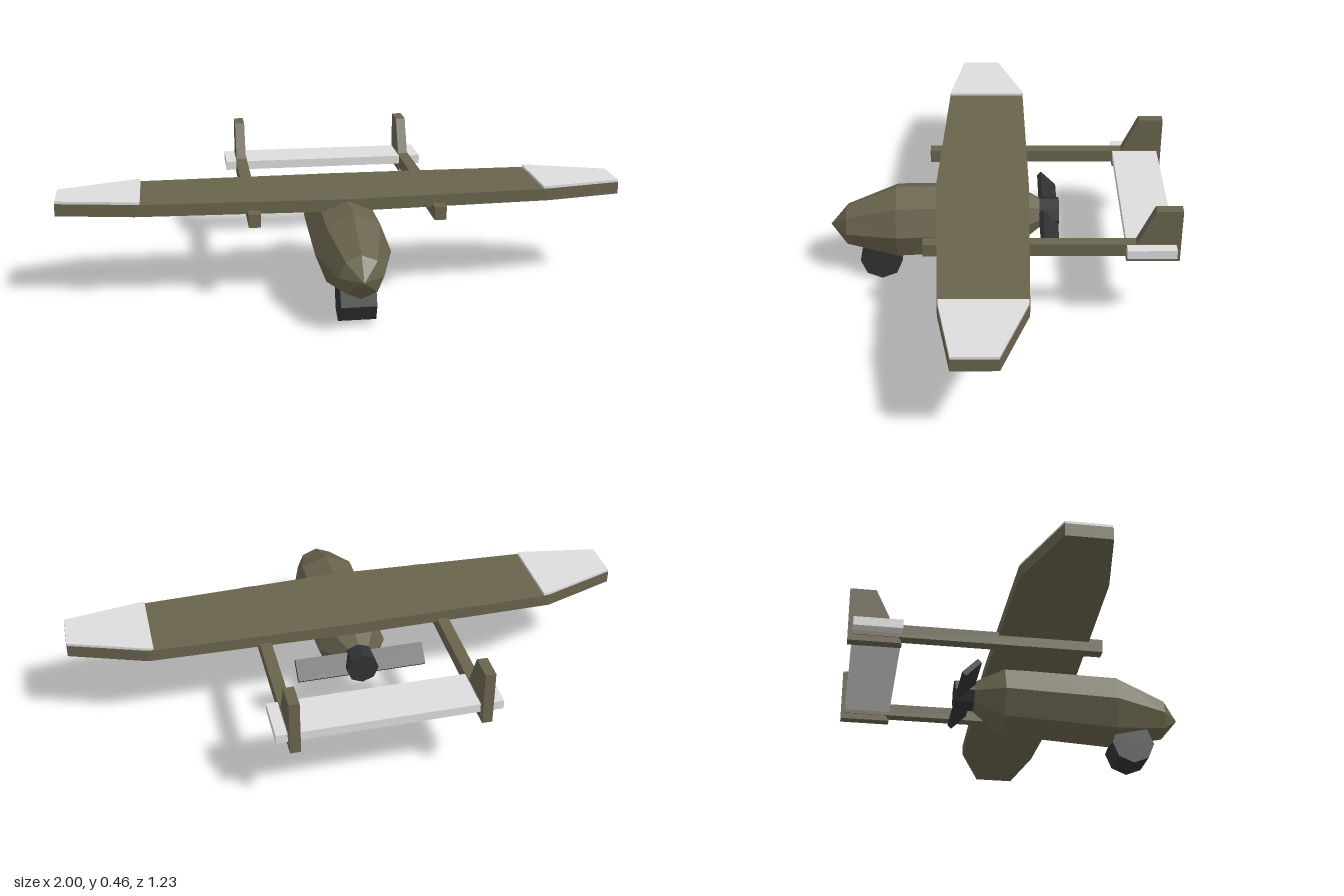
import * as THREE from 'three';

const makeMaterial = (name, color) => {
  const m = new THREE.MeshStandardMaterial({ color, flatShading: true });
  m.name = name;
  return m;
};

export function createModel() {
  const olive = makeMaterial('olive', 0x68634c);
  const pale = makeMaterial('pale grey', 0xdcdcdc);
  const dark = makeMaterial('charcoal', 0x303132);
  const model = new THREE.Group();
  model.name = 'aircraft';

  const add = (name, geometry, material, x = 0, y = 0, z = 0) => {
    const mesh = new THREE.Mesh(geometry, material);
    mesh.name = name;
    mesh.position.set(x, y, z);
    model.add(mesh);
    return mesh;
  };

  // Flat plate from [x, z] outline points, rising from y = 0
  const plate = (points, thickness) => {
    const shape = new THREE.Shape(points.map(([x, z]) => new THREE.Vector2(x, -z)));
    return new THREE.ExtrudeGeometry(shape, { depth: thickness, bevelEnabled: false }).rotateX(-Math.PI / 2);
  };

  // Fuselage: eight-sided loft, stations are [z, centre y, half width, half height]
  const stations = [
    [0.615, 0.2, 0.001, 0.001],
    [0.555, 0.2, 0.075, 0.076],
    [0.37, 0.218, 0.13, 0.139],
    [-0.04, 0.232, 0.123, 0.13],
    [-0.15, 0.248, 0.05, 0.053],
  ];
  const hull = new THREE.CylinderGeometry(1, 1, 4, 8, 4).rotateX(Math.PI / 2);
  const p = hull.attributes.position;
  for (let i = 0; i < p.count; i++) {
    const [z, cy, w, h] = stations[Math.round(2 - p.getZ(i))];
    p.setXYZ(i, p.getX(i) * w, cy + p.getY(i) * h, z);
  }
  hull.computeVertexNormals();
  add('fuselage', hull, olive);

  // Wing with tapered ends
  add('wing', plate([
    [-1, 0.15], [-0.73, 0.197], [0, 0.228], [0.73, 0.197], [1, 0.15],
    [1, 0], [0.73, -0.095], [0, -0.106], [-0.73, -0.095], [-1, 0],
  ], 0.043), olive, 0, 0.322, 0);

  // Sensor drum under the nose
  add('noseDrum', new THREE.CylinderGeometry(0.077, 0.077, 0.122, 8).rotateZ(Math.PI / 2), dark, 0, 0.077, 0.433);

  // Pusher propeller
  add('propellerHub', new THREE.CylinderGeometry(0.057, 0.057, 0.07, 8).rotateX(Math.PI / 2), dark, 0, 0.247, -0.18);
  add('propellerBlades', new THREE.BoxGeometry(0.46, 0.02, 0.078), dark, 0, 0.25, -0.178).rotation.x = -Math.PI / 4;

  // Tailplane between the booms
  add('tailplane', new THREE.BoxGeometry(0.766, 0.032, 0.168), pale, 0, 0.317, -0.515);

  // Fin outline as [z, y]
  const finShape = new THREE.Shape(
    [[-0.615, 0.265], [-0.432, 0.265], [-0.525, 0.463], [-0.615, 0.463]].map((q) => new THREE.Vector2(...q)));
  const fin = new THREE.ExtrudeGeometry(finShape, { depth: 0.036, bevelEnabled: false })
    .translate(0, 0, -0.018).rotateY(-Math.PI / 2);

  // Mirrored tips, booms and fins
  for (const [s, side] of [[1, 'left'], [-1, 'right']]) {
    const tip = [[0.71, 0.195], [0.73, 0.194], [0.999, 0.148], [0.999, 0.002], [0.73, -0.092], [0.71, -0.093]];
    add(side + 'WingTipPanel', plate(tip.map(([x, z]) => [s * x, z]), 0.009), pale, 0, 0.365, 0);
    add(side + 'Boom', new THREE.BoxGeometry(0.042, 0.047, 0.862), olive, s * 0.323, 0.3105, -0.169);
    add(side + 'Fin', fin, olive, s * 0.323, 0, 0);
  }

  return model;
}
